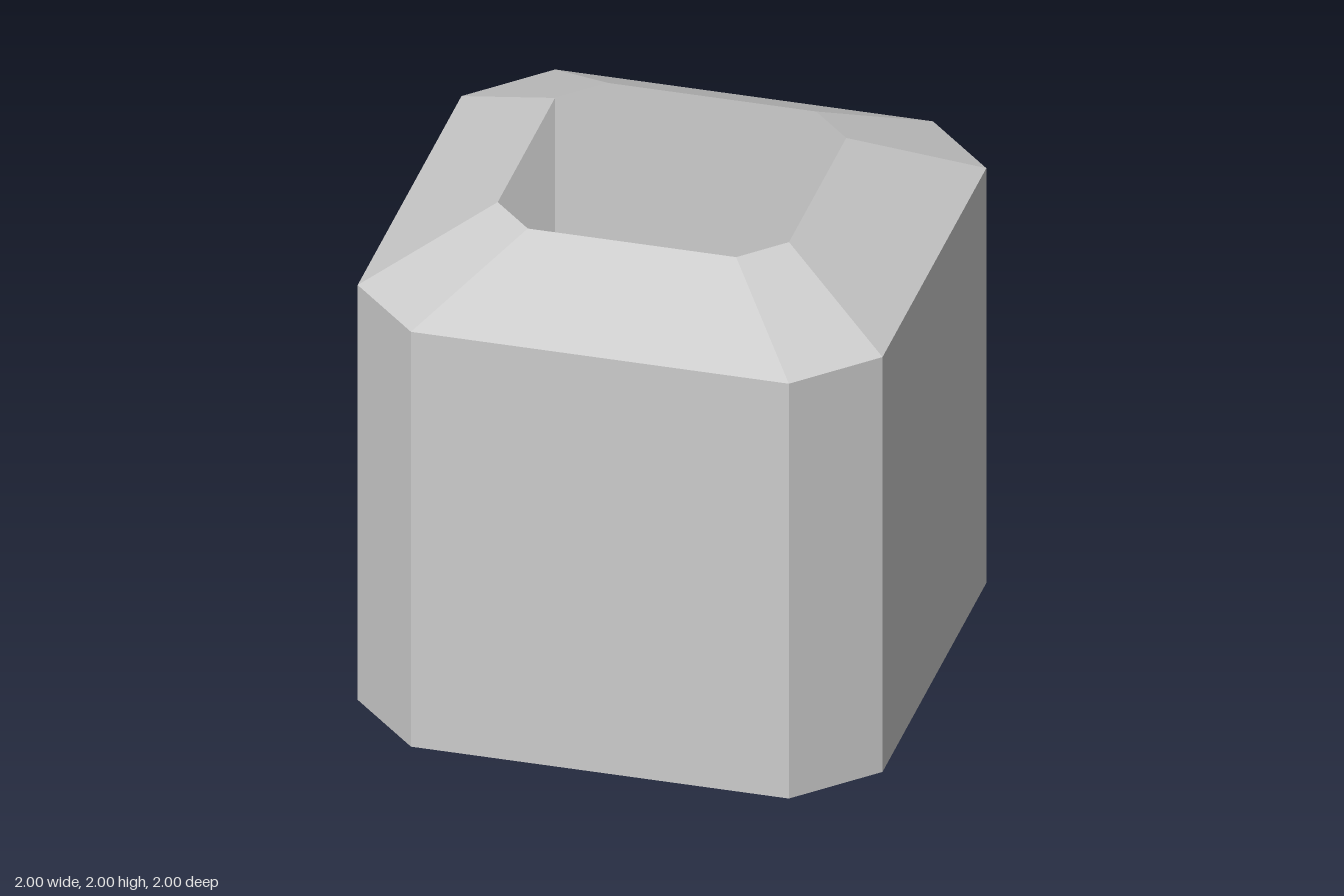
import * as THREE from 'three';

// Square ring with cut corners: half-width a, flat half-length b, height y
function ring(a, b, y) {
  return [[a, -b], [a, b], [b, a], [-b, a], [-a, b], [-a, -b], [-b, -a], [b, -a]]
    .map(([x, z]) => [x, y, z]);
}

// Flat-faced band of quads joining two rings, facing outwards
function band(name, lower, upper, material) {
  const positions = [];
  lower.forEach((p, i) => {
    const j = (i + 1) % lower.length;
    positions.push(...lower[j], ...p, ...upper[i], ...lower[j], ...upper[i], ...upper[j]);
  });
  const geometry = new THREE.BufferGeometry();
  geometry.setAttribute('position', new THREE.Float32BufferAttribute(positions, 3));
  geometry.computeVertexNormals();
  const mesh = new THREE.Mesh(geometry, material);
  mesh.name = name;
  return mesh;
}

export function createModel() {
  const group = new THREE.Group();
  group.name = 'openShell';
  const grey = new THREE.MeshStandardMaterial({ color: 0xcccccc, side: THREE.DoubleSide });
  grey.name = 'light grey';

  const base = ring(1, 0.72, 0);
  const shoulder = ring(1, 0.72, 1.76);
  const rim = ring(0.555, 0.397, 2);

  // Upright walls, open underneath
  group.add(band('walls', base, shoulder, grey));
  // Sloping collar around the open top
  group.add(band('collar', shoulder, rim, grey));
  return group;
}
